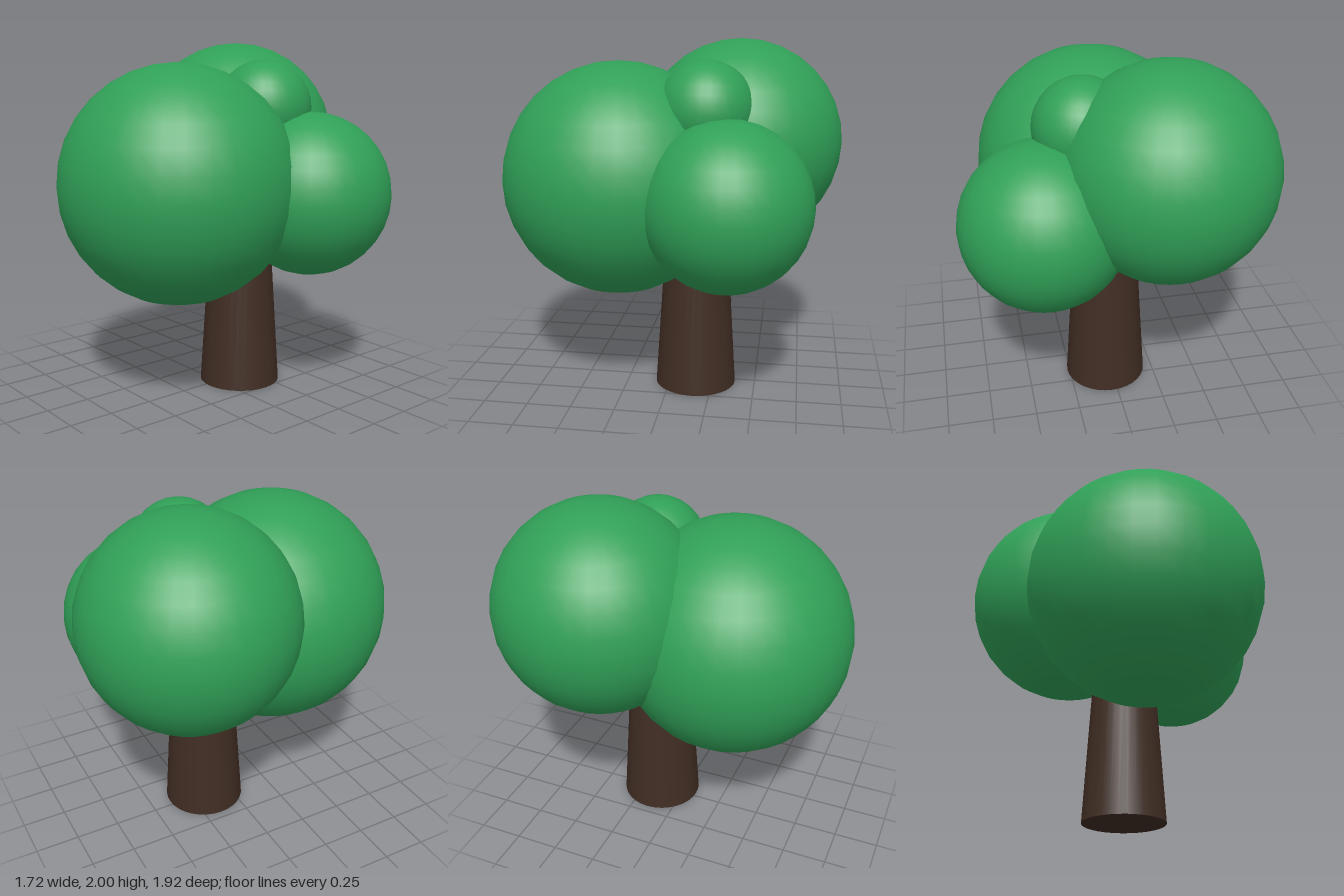
import * as THREE from 'three';

export function createModel() {
  const tree = new THREE.Group();
  tree.name = 'tree';

  const leafGreen = new THREE.MeshStandardMaterial({ color: 0x30a057 });
  leafGreen.name = 'leaf green';
  const barkBrown = new THREE.MeshStandardMaterial({ color: 0x402d23 });
  barkBrown.name = 'bark brown';

  // Tapered trunk, its top buried in the foliage
  const height = 1.0;
  const trunk = new THREE.Mesh(new THREE.CylinderGeometry(0.172, 0.235, height, 32), barkBrown);
  trunk.name = 'trunk';
  trunk.position.set(0.03, height / 2, -0.15);
  tree.add(trunk);

  // Overlapping balls of foliage: name, radius, centre
  const foliage = [
    ['frontFoliage', 0.663, [0.03, 1.222, 0.3]],
    ['backFoliage', 0.592, [-0.268, 1.408, -0.368]],
    ['leftFoliage', 0.461, [0.394, 1.152, -0.35]],
    ['topFoliage', 0.27, [0.16, 1.63, -0.21]],
  ];
  for (const [name, radius, centre] of foliage) {
    const ball = new THREE.Mesh(new THREE.SphereGeometry(radius, 32, 16), leafGreen);
    ball.name = name;
    ball.position.set(...centre);
    tree.add(ball);
  }

  return tree;
}
